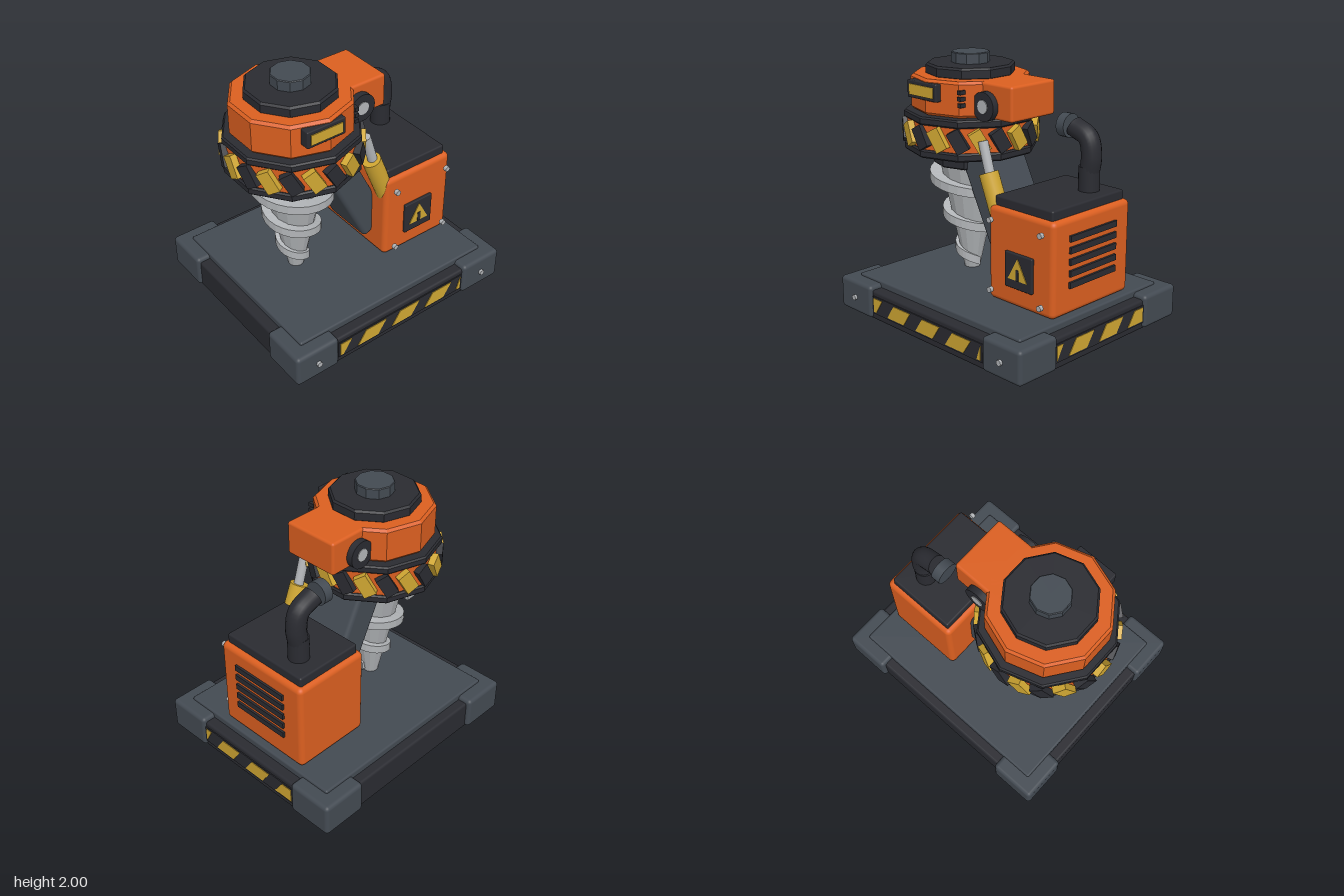
import * as THREE from 'three';
import { RoundedBoxGeometry } from 'three/addons/geometries/RoundedBoxGeometry.js';

const paint = (name, color, side = THREE.FrontSide) => {
  const m = new THREE.MeshStandardMaterial({ color, side });
  m.name = name;
  return m;
};

export function createModel() {
  const orange = paint('orange', 0xdb5f20);
  const black = paint('charcoal', 0x2a2b31);
  const slate = paint('slate', 0x434a52);
  const yellow = paint('yellow', 0xcfa632);
  const steel = paint('steel', 0xb2b5b8);
  const root = new THREE.Group();
  root.name = 'drillRig';
  const CZ = -0.01; // depth of the rig's middle plane

  const add = (name, geo, mat, x = 0, y = 0, z = 0, parent = root) => {
    const m = new THREE.Mesh(geo, mat);
    m.name = name;
    m.position.set(x, y, z);
    parent.add(m);
    return m;
  };
  // Box from its limits, with optional rounded edges
  const block = (name, mat, [x0, x1], [y0, y1], [z0, z1], r = 0, parent = root) => {
    const s = [x1 - x0, y1 - y0, z1 - z0];
    const geo = r ? new RoundedBoxGeometry(...s, 3, r) : new THREE.BoxGeometry(...s);
    return add(name, geo, mat, (x0 + x1) / 2, (y0 + y1) / 2, (z0 + z1) / 2, parent);
  };
  const flat = (geo) => {
    const g = geo.index ? geo.toNonIndexed() : geo;
    g.computeVertexNormals();
    return g;
  };
  // Faceted drum with bevelled rims
  const drum = (name, mat, r, y0, y1, bevel, parent, sides = 10) => {
    const pts = [[0, y0], [r - bevel, y0], [r, y0 + bevel], [r, y1 - bevel], [r - bevel, y1], [0, y1]];
    const geo = new THREE.LatheGeometry(pts.map((p) => new THREE.Vector2(...p)), sides);
    return add(name, flat(geo), mat, 0, 0, 0, parent);
  };
  // Cylinder between two points
  const rod = (name, mat, r, a, b, sides = 20) => {
    const p = new THREE.Vector3(...a), d = new THREE.Vector3(...b).sub(p);
    const m = add(name, new THREE.CylinderGeometry(r, r, d.length(), sides), mat);
    m.position.copy(p).addScaledVector(d, 0.5);
    m.quaternion.setFromUnitVectors(new THREE.Vector3(0, 1, 0), d.normalize());
    return m;
  };
  const screw = (x, y, z0, z1) => rod('screw', steel, 0.022, [x, y, z0], [x, y, z1], 8);

  // Base platform
  block('baseSlab', black, [-0.955, 0.955], [0, 0.235], [-0.825, 0.815], 0.02);
  block('basePlate', slate, [-0.87, 0.87], [0.2, 0.287], [-0.748, 0.73], 0.015);
  for (const sx of [-1, 1]) {
    for (const sz of [-1, 1]) {
      const x = [sx * 0.61, sx * 0.98].sort((a, b) => a - b);
      const z = [CZ + sz * 0.48, CZ + sz * 0.85].sort((a, b) => a - b);
      block('baseCorner', slate, x, [0.008, 0.267], z, 0.03);
    }
    screw(sx * 0.795, 0.135, 0.83, 0.86);
  }

  // Hazard stripes on the front and on the model's left side
  const hazardStrip = (half, start) => {
    const g = new THREE.Group();
    g.name = 'hazardStrip';
    block('stripPanel', black, [-half - 0.015, half + 0.015], [0.055, 0.195], [-0.02, 0.008], 0, g);
    const clip = (v) => Math.min(half, Math.max(-half, v));
    for (let x = start; x - 0.075 < half; x += 0.325) {
      const pts = [[x - 0.075, 0.07], [x + 0.115, 0.07], [x + 0.19, 0.182], [x, 0.182]];
      const shape = new THREE.Shape(pts.map(([u, v]) => new THREE.Vector2(clip(u), v)));
      add('stripe', new THREE.ExtrudeGeometry(shape, { depth: 0.005, bevelEnabled: false }), yellow, 0, 0, 0.008, g);
    }
    root.add(g);
    return g;
  };
  hazardStrip(0.587, -0.675).position.z = 0.815;
  const sideStrip = hazardStrip(0.47, -0.6);
  sideStrip.rotation.y = Math.PI / 2;
  sideStrip.position.set(0.955, 0, CZ);

  // Engine housing
  block('engineHousing', orange, [0.193, 0.83], [0.29, 1.005], [-0.46, 0.365], 0.04);
  block('engineLid', black, [0.23, 0.79], [0.98, 1.075], [-0.425, 0.332], 0.015);
  for (const x of [0.262, 0.755]) for (const y of [0.382, 0.913]) screw(x, y, 0.4, 0.43);
  for (let i = 0; i < 5; i++) {
    const y = 0.515 + i * 0.086;
    block('ventSlat', black, [0.81, 0.848], [y - 0.023, y + 0.023], [-0.29, 0.203]);
  }

  // Warning sign
  block('signPlate', black, [0.38, 0.647], [0.44, 0.705], [0.35, 0.388], 0.008);
  const tri = new THREE.Shape([[0.42, 0.51], [0.605, 0.51], [0.513, 0.675]].map((p) => new THREE.Vector2(...p)));
  add('signTriangle', new THREE.ExtrudeGeometry(tri, { depth: 0.006, bevelEnabled: false }), yellow, 0, 0, 0.388);
  block('signMark', black, [0.499, 0.528], [0.51, 0.592], [0.39, 0.397]);

  // Exhaust
  rod('exhaustSleeve', black, 0.079, [0.622, 1.06, -0.235], [0.622, 1.255, -0.235]);
  const bend = new THREE.CatmullRomCurve3([[0.622, 1.2], [0.64, 1.33], [0.608, 1.46], [0.475, 1.522]]
    .map(([x, y]) => new THREE.Vector3(x, y, -0.235)));
  add('exhaustPipe', new THREE.TubeGeometry(bend, 20, 0.076, 16), black);
  const end = bend.getPoint(1), dir = bend.getTangent(1);
  rod('exhaustPipeEnd', black, 0.076, end.clone().addScaledVector(dir, -0.01).toArray(),
    end.clone().addScaledVector(dir, 0.003).toArray(), 16);
  rod('exhaustCap', slate, 0.09, [0.37, 1.522, -0.235], [0.443, 1.522, -0.235]);

  // Support arm and hydraulic piston
  const arm = add('supportArm', new RoundedBoxGeometry(0.25, 1.0, 0.43, 3, 0.035), slate, 0.024, 0.903, CZ);
  arm.rotation.z = 0.462;
  rod('pistonBarrel', yellow, 0.073, [0.3, 0.74, 0.28], [0.112, 1.205, 0.28]);
  rod('pistonRod', steel, 0.037, [0.14, 1.15, 0.28], [0.055, 1.43, 0.28]);

  // Drill head: stacked drums on one axis
  const head = new THREE.Group();
  head.name = 'drillHead';
  head.position.set(-0.38, 0, CZ);
  root.add(head);
  drum('topKnob', slate, 0.147, 1.9, 2.0, 0.006, head);
  drum('headCap', black, 0.34, 1.83, 1.92, 0.015, head);
  drum('headDrum', orange, 0.452, 1.575, 1.842, 0.02, head);
  drum('upperFlange', black, 0.51, 1.51, 1.572, 0.012, head);
  drum('ringBand', orange, 0.49, 1.32, 1.515, 0.002, head);
  drum('lowerFlange', black, 0.51, 1.262, 1.325, 0.012, head);
  drum('drillCollar', black, 0.292, 1.145, 1.27, 0.01, head);

  // Slanted blocks around the ring, alternating in colour
  for (let i = 0; i < 20; i++) {
    const a = (i * Math.PI) / 10;
    const pivot = new THREE.Group();
    pivot.name = 'ringBlock';
    pivot.rotation.y = a;
    head.add(pivot);
    const b = add('slantedBlock', new THREE.BoxGeometry(0.1, 0.17, 0.05), i % 2 ? yellow : black,
      0, 1.418, 0.496, pivot);
    b.rotation.z = Math.PI / 6;
  }

  // Drill bit with a spiral blade
  add('drillBit', flat(new THREE.CylinderGeometry(0.25, 0.06, 0.88, 14)), steel, 0, 0.72, 0, head);
  const pos = [], idx = [], N = 72, turns = 2.75, y0 = 1.155, pitch = 0.295;
  for (let i = 0; i <= N; i++) {
    const t = (i / N) * turns, y = y0 - t * pitch, a = 1.5 * Math.PI - t * 2 * Math.PI;
    const core = 0.06 + (0.19 * (y - 0.28)) / 0.88 - 0.03;
    const rim = 0.335 + (y - 1.08) * 0.325;
    for (const [r, h] of [[core, -0.034], [rim, -0.034], [rim, 0.034], [core, 0.034]]) {
      pos.push(Math.cos(a) * r, y + h, Math.sin(a) * r);
    }
    if (i < N) {
      for (let k = 0; k < 4; k++) {
        const p = i * 4 + k, q = i * 4 + ((k + 1) % 4);
        idx.push(p, p + 4, q + 4, p, q + 4, q);
      }
    }
  }
  const e = N * 4;
  idx.push(0, 1, 2, 0, 2, 3, e, e + 2, e + 1, e, e + 3, e + 2);
  const spiral = new THREE.BufferGeometry();
  spiral.setAttribute('position', new THREE.Float32BufferAttribute(pos, 3));
  spiral.setIndex(idx);
  add('spiralBlade', flat(spiral), steel, 0, 0, 0, head);

  // Head side box with pivot discs on both faces
  block('headSideBox', orange, [-0.15, 0.28], [1.582, 1.842], [-0.235, 0.215], 0.02);
  for (const s of [-1, 1]) {
    rod('pivotDisc', black, 0.108, [0.037, 1.673, CZ + s * 0.2], [0.037, 1.673, CZ + s * 0.275], 24);
    rod('pivotPin', steel, 0.05, [0.037, 1.673, CZ + s * 0.25], [0.037, 1.673, CZ + s * 0.281], 16);
  }

  // Front display and indicator studs
  block('displayFrame', black, [-0.577, -0.257], [1.685, 1.818], [0.36, 0.45], 0.01);
  block('displayScreen', yellow, [-0.55, -0.284], [1.71, 1.79], [0.449, 0.457]);
  for (const y of [1.675, 1.722, 1.77]) {
    block('indicatorStud', black, [-0.115, -0.083], [y - 0.015, y + 0.015], [0.32, 0.37]);
  }
  return root;
}
